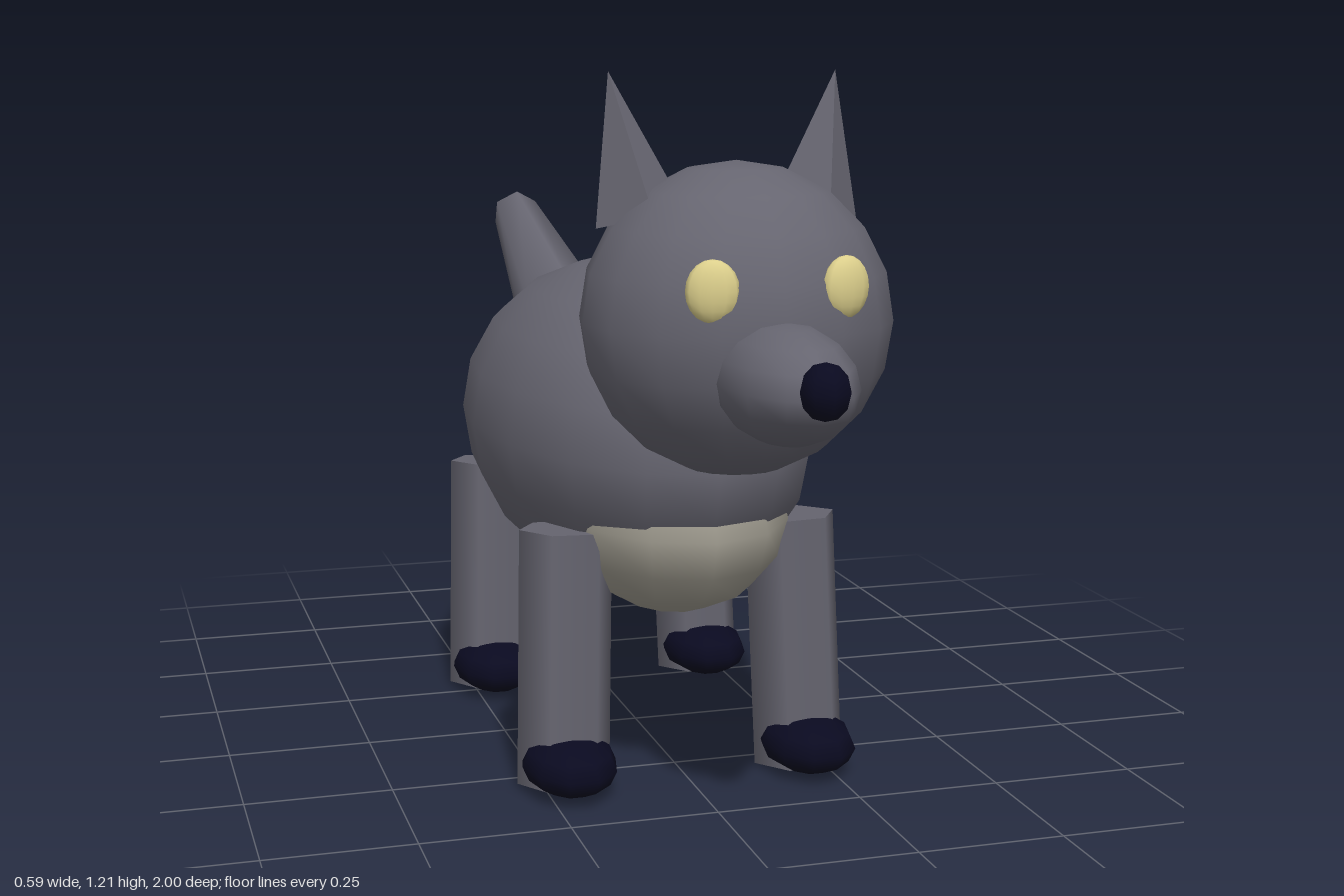
import * as THREE from 'three';

export function createModel() {
  const model = new THREE.Group();
  model.name = 'fourLeggedAnimal';

  const mat = (name, color, extra = {}) => {
    const m = new THREE.MeshStandardMaterial({ color, ...extra });
    m.name = name;
    return m;
  };
  const fur = mat('greyFur', 0x666570);
  const chestFur = mat('paleFur', 0xa09c90);
  const dark = mat('darkNavy', 0x0a0a20);
  const yellow = mat('paleYellow', 0xdccf8c);

  const add = (name, geometry, material) => {
    const mesh = new THREE.Mesh(geometry, material);
    mesh.name = name;
    model.add(mesh);
    return mesh;
  };

  // Ellipsoid with a centre and three radii
  const ellipsoid = (name, material, c, r, w, h) => {
    const geo = new THREE.SphereGeometry(1, w, h);
    geo.scale(...r);
    const mesh = add(name, geo, material);
    mesh.position.set(...c);
    return mesh;
  };

  // Six-sided limb from a to b, with radii at each end
  const limb = (name, a, b, ra, rb, twist = 0) => {
    const start = new THREE.Vector3(...a), end = new THREE.Vector3(...b);
    const axis = end.clone().sub(start);
    const geo = new THREE.CylinderGeometry(rb, ra, axis.length(), 6);
    geo.rotateY(twist);
    const mesh = add(name, geo, fur);
    mesh.position.copy(start).add(end).multiplyScalar(0.5);
    mesh.quaternion.setFromUnitVectors(new THREE.Vector3(0, 1, 0), axis.normalize());
    return mesh;
  };

  // Body, chest and tail
  ellipsoid('body', fur, [0, 0.577, -0.03], [0.295, 0.292, 0.533], 16, 10);
  ellipsoid('chest', chestFur, [0, 0.46, 0.2], [0.2, 0.175, 0.285], 12, 8);
  limb('tail', [0, 0.68, -0.515], [0, 0.872, -0.98], 0.096, 0.05);

  // Head, muzzle and nose
  ellipsoid('head', fur, [0, 0.84, 0.565], [0.245, 0.245, 0.24], 16, 10);
  ellipsoid('muzzle', fur, [0, 0.775, 0.79], [0.1, 0.09, 0.175], 12, 8);
  ellipsoid('nose', dark, [0, 0.79, 0.96], [0.038, 0.042, 0.04], 8, 6);

  for (const side of [1, -1]) {
    const label = side > 0 ? 'left' : 'right';

    // Eyes, turned slightly outward
    const eye = ellipsoid(label + 'Eye', yellow, [side * 0.103, 0.91, 0.768], [0.04, 0.047, 0.02], 12, 10);
    eye.rotation.y = side * 0.25;

    // Pointed four-sided ears, leaning out and back
    const earGeo = new THREE.ConeGeometry(0.073, 0.23, 4).toNonIndexed();
    earGeo.translate(0, 0.115, 0);
    earGeo.computeVertexNormals();
    const ear = add(label + 'Ear', earGeo, fur);
    ear.position.set(side * 0.142, 0.995, 0.527);
    ear.rotation.set(-0.13, 0, side * -0.19);

    // Legs and paws
    for (const [end, z] of [['Front', 0.3], ['Back', -0.293]]) {
      limb(label + end + 'Leg', [side * 0.213, 0.014, z], [side * 0.2, 0.45, z - 0.027], 0.081, 0.081, Math.PI / 6);
      ellipsoid(label + end + 'Paw', dark, [side * 0.213, 0.06, z + 0.04], [0.081, 0.05, 0.112], 10, 6);
    }
  }
  return model;
}
